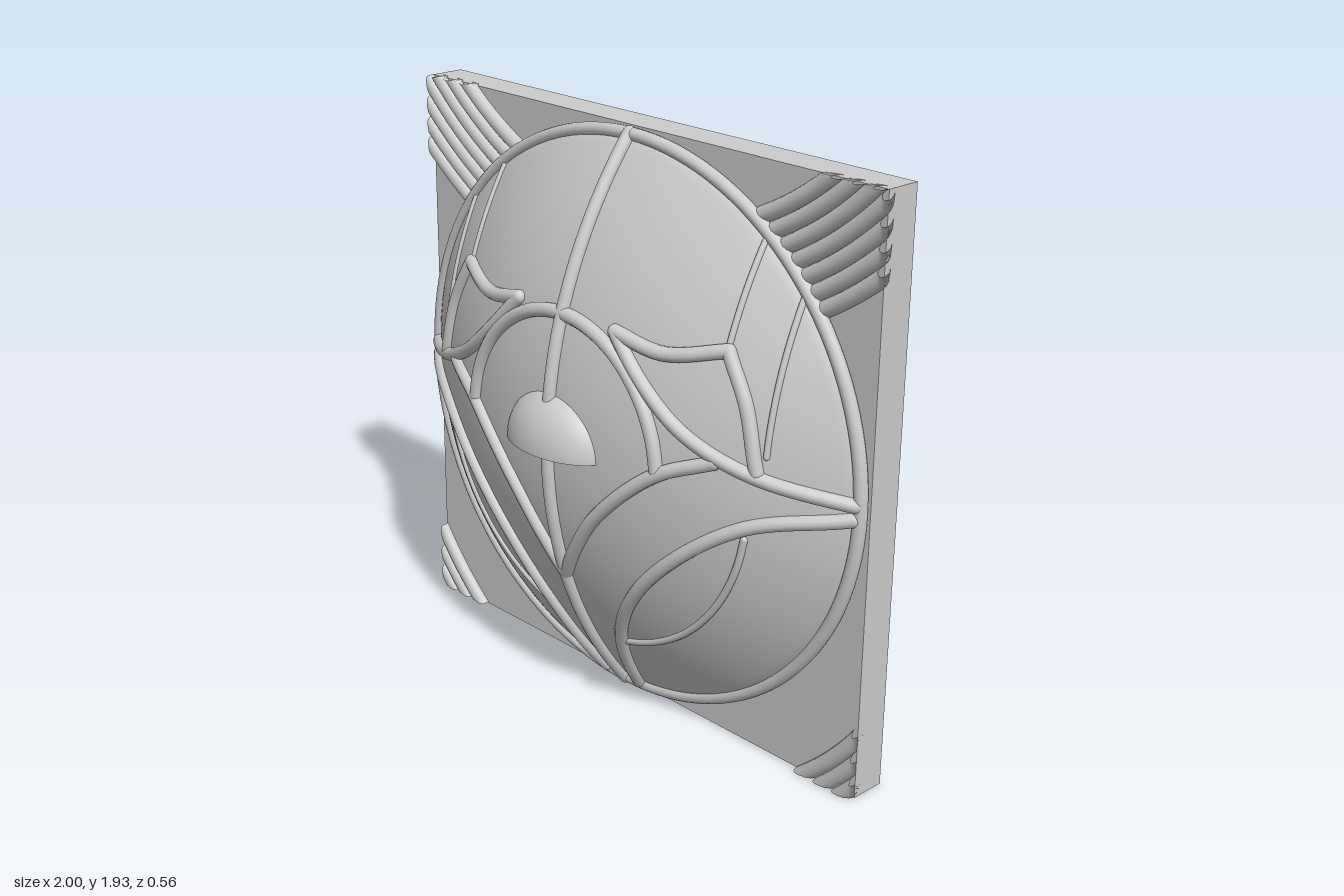
import * as THREE from 'three';

const mat = new THREE.MeshStandardMaterial({ color: 0xcccccc });
const H = 1.92, CY = 0.96, RX = 0.978, RY = 0.938;
const RIM_Z = -0.14, APEX_Z = 0.2;
const DEPTH = APEX_Z - RIM_Z, CAP_R = (1 + DEPTH * DEPTH) / (2 * DEPTH);

// Height of the dome at u (0 = apex, 1 = rim)
const capZ = (u) => APEX_Z - CAP_R + Math.sqrt(CAP_R * CAP_R - Math.min(u, 1) ** 2);
const domeZ = (x, y) => capZ(Math.hypot(x / RX, (y - CY) / RY));

function add(parent, name, geometry) {
  const mesh = new THREE.Mesh(geometry, mat);
  mesh.name = name;
  parent.add(mesh);
  return mesh;
}

// Rounded rod that follows the dome surface through a few front-plane points
function rod(parent, name, pts, radius = 0.023, lift = 0.004) {
  const flat = new THREE.CatmullRomCurve3(pts.map(([x, y]) => new THREE.Vector3(x, y, 0)), false, 'centripetal');
  const path = flat.getSpacedPoints(30).map((p) => p.setZ(domeZ(p.x, p.y) + lift));
  const group = new THREE.Group();
  group.name = name;
  add(group, name + 'Rod', new THREE.TubeGeometry(new THREE.CatmullRomCurve3(path), 60, radius, 12));
  for (const end of [path[0], path[path.length - 1]]) {
    add(group, name + 'End', new THREE.SphereGeometry(radius, 12, 8)).position.copy(end);
  }
  parent.add(group);
}

// Points on a circle around the dome centre, angles in degrees
function arcPoints(r, from, to, n = 10) {
  return Array.from({ length: n + 1 }, (_, i) => {
    const a = THREE.MathUtils.degToRad(from + ((to - from) * i) / n);
    return [r * Math.cos(a), CY + r * Math.sin(a)];
  });
}

// Ridge arc on the plate, angles measured from straight down, cut flush at the plate edges
function ridge(parent, cy, r, a0, a1, z) {
  const pts = [];
  for (let i = 0; i <= 40; i++) {
    const a = a0 + ((a1 - a0) * i) / 40;
    pts.push(new THREE.Vector3(r * Math.sin(a), cy - r * Math.cos(a), z));
  }
  const geo = new THREE.TubeGeometry(new THREE.CatmullRomCurve3(pts), 80, 0.027, 12);
  const p = geo.attributes.position;
  for (let i = 0; i < p.count; i++) {
    p.setX(i, THREE.MathUtils.clamp(p.getX(i), -1, 1));
    p.setY(i, THREE.MathUtils.clamp(p.getY(i), 0, H));
  }
  add(parent, 'ridge', geo);
}

export function createModel() {
  const model = new THREE.Group();
  model.name = 'reliefTile';

  // Square backing plate
  add(model, 'backPlate', new THREE.BoxGeometry(2, H, 0.12)).position.set(0, CY, -0.22);

  // Shallow dome with a short skirt down to the plate
  const profile = [new THREE.Vector2(1, -0.17)];
  for (let i = 0; i <= 24; i++) {
    const u = 1 - i / 24;
    profile.push(new THREE.Vector2(u, capZ(u)));
  }
  const dome = add(model, 'dome', new THREE.LatheGeometry(profile, 96).rotateX(Math.PI / 2));
  dome.scale.set(RX, RY, 1);
  dome.position.y = CY;

  // Rim ring
  const rim = add(model, 'rim', new THREE.TorusGeometry(RX, 0.022, 14, 120));
  rim.scale.y = RY / RX;
  rim.position.set(0, CY, RIM_Z);

  // Wave ridges in the four corners
  const waves = new THREE.Group();
  waves.name = 'cornerRidges';
  model.add(waves);
  for (let i = 0; i < 7; i++) {
    const r = 1.25 + i * 0.053;
    const top = Math.min(Math.acos(CY / r), Math.asin(1 / r)) + 0.02;
    for (const s of [-1, 1]) {
      ridge(waves, H + CY, r, s * 0.3, s * top, -0.157);
      if (i < 3) ridge(waves, CY, r, s * (Math.asin(1 / r) + 0.02), s * (Math.acos(CY / r) - 0.02), -0.157);
    }
  }

  // Middle rib and arch over the nose
  rod(model, 'middleRib', [[0, 0.02], [0, 0.5], [0, CY], [0, 1.4], [0, 1.9]]);
  rod(model, 'arch', arcPoints(0.425, 5, 175, 16));

  // Mirrored rods
  for (const s of [1, -1]) {
    const side = new THREE.Group();
    side.name = s > 0 ? 'leftRods' : 'rightRods';
    model.add(side);
    const m = (pts) => pts.map(([x, y]) => [s * x, y]);
    rod(side, 'earLowerEdge', m([[0.97, 0.98], [0.7, 1.04], [0.5, 1.13], [0.35, 1.25], [0.22, 1.38]]));
    rod(side, 'earUpperEdge', m([[0.22, 1.38], [0.4, 1.35], [0.59, 1.39]]));
    rod(side, 'earOuterEdge', m([[0.59, 1.39], [0.67, 1.24], [0.72, 1.05]]));
    rod(side, 'upperPetal', m([[0.6, 1.06], [0.42, 0.98], [0.2, 0.785], [0.09, 0.64], [0, 0.5]]));
    rod(side, 'lowerPetal', m([[0.965, 0.935], [0.69, 0.865], [0.37, 0.61], [0.18, 0.34], [0.08, 0.04]]));
    // Fine lines
    rod(side, 'cheekLine', m(arcPoints(0.7, -11, -76)), 0.012, 0);
    rod(side, 'innerLine', m([[0.585, 1.39], [0.585, 1.69]]), 0.01, 0);
    rod(side, 'outerLine', m([[0.74, 1.1], [0.74, 1.57]]), 0.01, 0);
  }

  // Half-round nose with a flat underside
  const nose = new THREE.Group();
  nose.name = 'nose';
  add(nose, 'noseCap', new THREE.SphereGeometry(1, 48, 20, 0, Math.PI * 2, 0, Math.PI / 2));
  add(nose, 'noseUnderside', new THREE.CircleGeometry(1, 48).rotateX(Math.PI / 2));
  nose.scale.set(0.212, 0.185, 0.13);
  nose.position.set(0, 0.957, 0.15);
  model.add(nose);

  return model;
}
